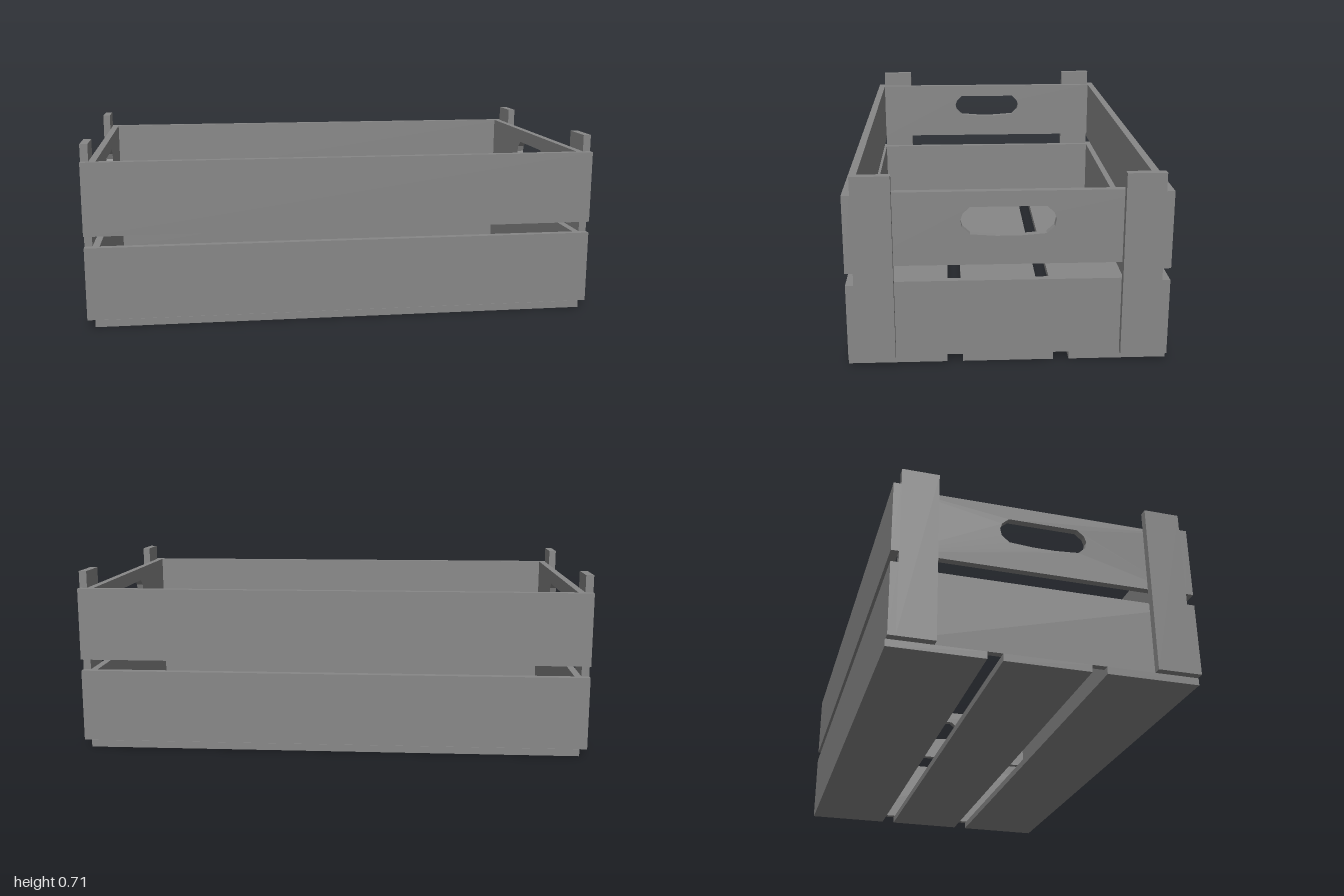
import * as THREE from 'three';

export function createModel() {
  const crate = new THREE.Group();
  crate.name = 'crate';
  const material = new THREE.MeshStandardMaterial({ color: 0x878787, flatShading: true });

  const add = (name, geometry) => {
    const mesh = new THREE.Mesh(geometry, material);
    mesh.name = name;
    crate.add(mesh);
    return mesh;
  };

  // Plank given by its extents on each axis
  const plank = (name, [x0, x1], [y0, y1], [z0, z1]) =>
    add(name, new THREE.BoxGeometry(x1 - x0, y1 - y0, z1 - z0))
      .position.set((x0 + x1) / 2, (y0 + y1) / 2, (z0 + z1) / 2);

  const mirrored = (a, b, s) => (s > 0 ? [a, b] : [-b, -a]);

  const floorY = 0.028, lowTop = 0.313, rim = 0.642;
  const endIn = 0.943, endOut = 0.97, sideIn = 0.543, sideOut = 0.572;

  // Bottom planks
  for (const [name, z] of [
    ['bottomBack', [-0.574, -0.22]],
    ['bottomMiddle', [-0.163, 0.163]],
    ['bottomFront', [0.22, 0.574]],
  ]) plank(name, [-endOut, endOut], [0, floorY], z);

  // Long side planks
  for (const s of [1, -1]) {
    const side = s > 0 ? 'front' : 'back';
    const z = mirrored(sideIn, sideOut, s);
    plank(side + 'LowerPlank', [-1, 1], [floorY, lowTop], z);
    plank(side + 'UpperPlank', [-1, 1], [0.358, rim], z);
  }

  // Upper end board with a hand hole, drawn in the z-y plane
  const board = new THREE.Shape([
    [-sideIn, 0.373], [sideIn, 0.373], [sideIn, rim], [-sideIn, rim],
  ].map(([z, y]) => new THREE.Vector2(z, y)));
  const half = [[0.042, 0.479], [0.134, 0.486], [0.162, 0.512], [0.168, 0.538], [0.16, 0.562], [0.134, 0.586]];
  const outline = [...half, ...half.map(([z, y]) => [-z, y]).reverse()];
  board.holes.push(new THREE.Path(outline.map(([z, y]) => new THREE.Vector2(z, y))));
  const boardGeometry = new THREE.ExtrudeGeometry(board, { depth: endOut - endIn, bevelEnabled: false });
  boardGeometry.rotateY(-Math.PI / 2);

  for (const s of [1, -1]) {
    const end = s > 0 ? 'left' : 'right';
    // End boards
    plank(end + 'LowerBoard', mirrored(endIn, endOut, s), [floorY, lowTop], [-sideIn, sideIn]);
    add(end + 'HandleBoard', boardGeometry).position.x = s > 0 ? endOut : -endIn;
    // Corner posts
    for (const t of [1, -1]) {
      plank(end + (t > 0 ? 'Front' : 'Back') + 'Post',
        mirrored(endOut, 1, s), [floorY, 0.708], mirrored(0.404, sideIn, t));
    }
  }
  return crate;
}
